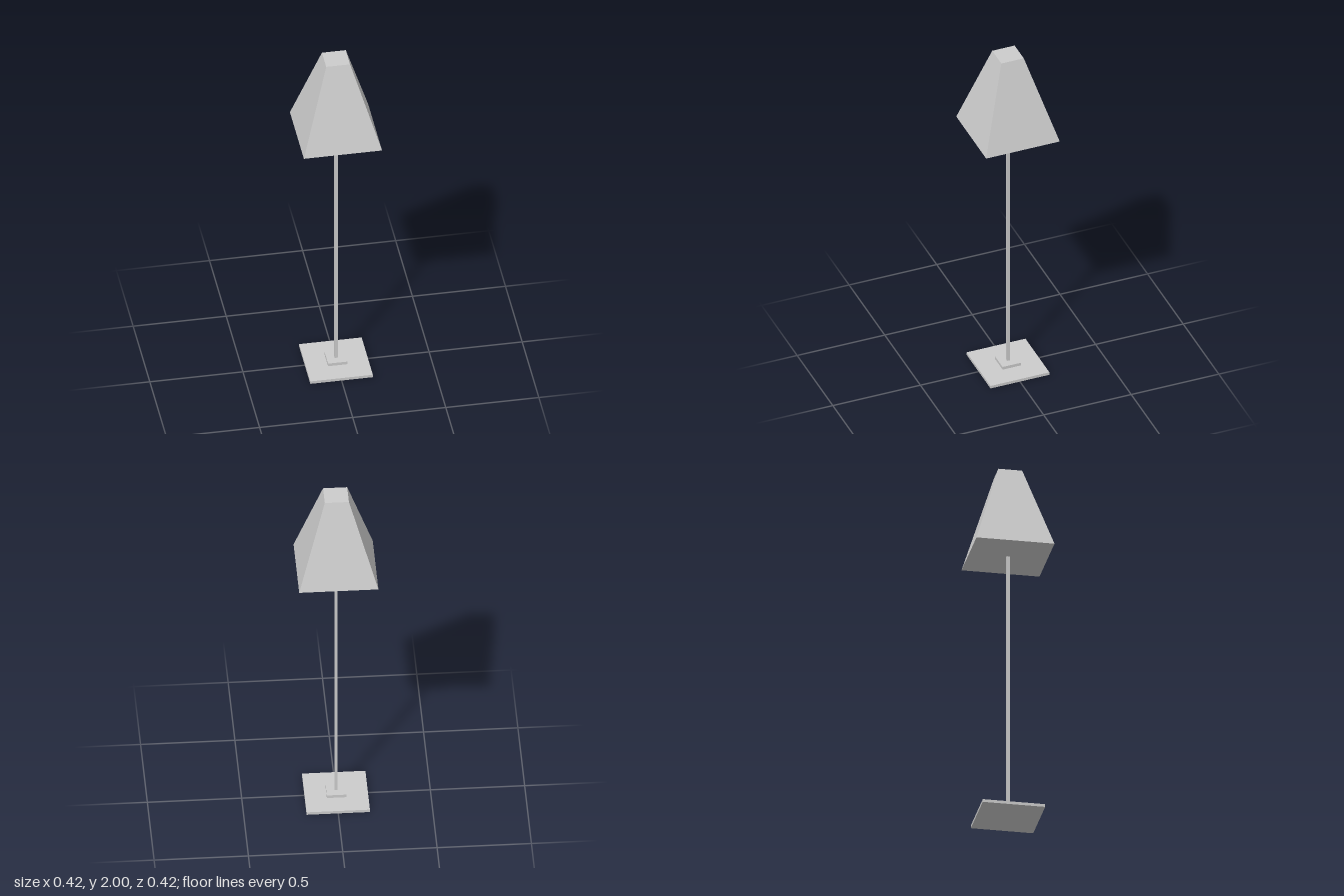
import * as THREE from 'three';

const material = new THREE.MeshStandardMaterial({ color: 0xcccccc, flatShading: true });

// Square block from y0 to y1, with its own half width at the bottom and at the top
function squareBlock(name, y0, y1, bottomHalf, topHalf = bottomHalf) {
  const geometry = new THREE.BoxGeometry(2, y1 - y0, 2);
  geometry.translate(0, (y0 + y1) / 2, 0);
  const p = geometry.attributes.position;
  const middle = (y0 + y1) / 2;
  for (let i = 0; i < p.count; i++) {
    const half = p.getY(i) > middle ? topHalf : bottomHalf;
    p.setX(i, p.getX(i) * half);
    p.setZ(i, p.getZ(i) * half);
  }
  geometry.computeVertexNormals();
  const mesh = new THREE.Mesh(geometry, material);
  mesh.name = name;
  return mesh;
}

export function createModel() {
  const lamp = new THREE.Group();
  lamp.name = 'floorLamp';
  lamp.add(
    squareBlock('basePlate', 0, 0.016, 0.168),
    squareBlock('baseCollar', 0.016, 0.033, 0.052),
    squareBlock('pole', 0.033, 1.52, 0.0085),
    // Closed, tapered shade
    squareBlock('shade', 1.52, 2, 0.21, 0.064),
  );
  return lamp;
}
